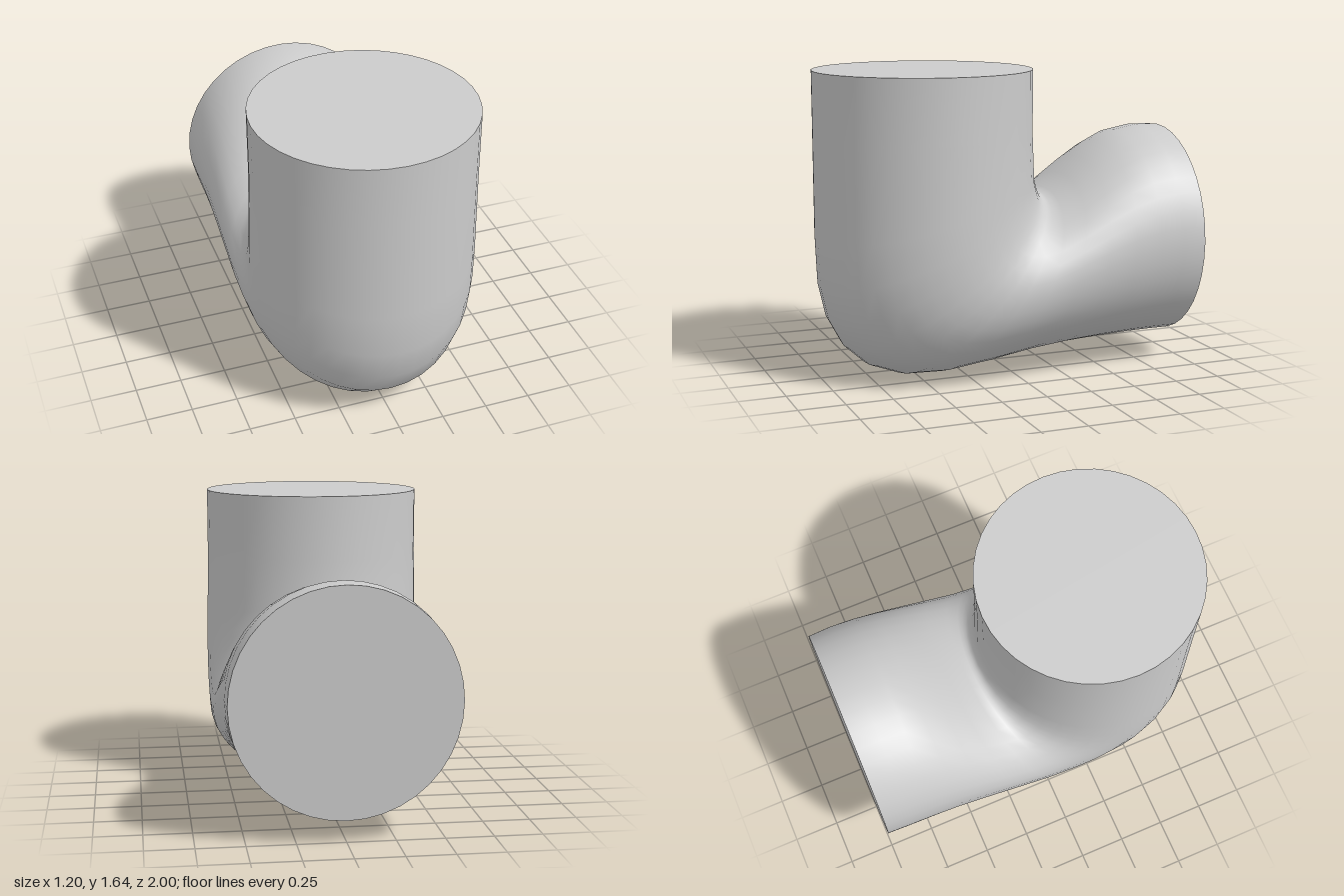
import * as THREE from 'three';

// Elbow stations: inner z, inner y, outer z, outer y, half width
const STATIONS = [
  [-0.18, 1.645, 1.00, 1.645, 0.59], [-0.18, 1.30, 1.00, 1.30, 0.59],
  [-0.19, 1.05, 1.00, 0.75, 0.597], [-0.205, 1.00, 0.99, 0.50, 0.60],
  [-0.215, 0.975, 0.95, 0.32, 0.60], [-0.225, 0.96, 0.87, 0.17, 0.60],
  [-0.235, 0.955, 0.76, 0.07, 0.60], [-0.245, 0.95, 0.60, 0.01, 0.60],
  [-0.26, 0.95, 0.40, 0.003, 0.60], [-0.30, 0.965, 0.15, 0.035, 0.60],
  [-0.40, 1.04, -0.10, 0.072, 0.597], [-0.50, 1.13, -0.35, 0.095, 0.593],
  [-0.62, 1.215, -0.55, 0.105, 0.59], [-0.73, 1.27, -0.75, 0.112, 0.59],
  [-0.87, 1.295, -0.87, 0.113, 0.59], [-1.00, 1.29, -1.00, 0.113, 0.585],
];
const SIDES = 40;

// Oval cross-section spanning the inner and outer points of a station
function ring([iz, iy, oz, oy, w]) {
  const pts = [];
  for (let j = 0; j < SIDES; j++) {
    const a = (j / SIDES) * Math.PI * 2;
    const c = Math.cos(a);
    pts.push(w * Math.sin(a), (iy + oy) / 2 + c * (oy - iy) / 2, (iz + oz) / 2 + c * (oz - iz) / 2);
  }
  return pts;
}

function geometry(positions, index) {
  const g = new THREE.BufferGeometry();
  g.setAttribute('position', new THREE.Float32BufferAttribute(positions, 3));
  g.setIndex(index);
  g.computeVertexNormals();
  return g;
}

// Skin joining successive cross-sections
function pipeGeometry() {
  const index = [];
  for (let i = 0; i < STATIONS.length - 1; i++) {
    for (let j = 0; j < SIDES; j++) {
      const k = (j + 1) % SIDES;
      const a = i * SIDES + j, b = i * SIDES + k;
      const c = a + SIDES, d = b + SIDES;
      index.push(a, c, b, b, c, d);
    }
  }
  return geometry(STATIONS.flatMap(ring), index);
}

// Flat disc closing one end
function capGeometry(station, flip) {
  const [iz, iy, oz, oy] = station;
  const index = [];
  for (let j = 0; j < SIDES; j++) {
    const k = (j + 1) % SIDES;
    index.push(SIDES, flip ? k : j, flip ? j : k);
  }
  return geometry([...ring(station), 0, (iy + oy) / 2, (iz + oz) / 2], index);
}

export function createModel() {
  const model = new THREE.Group();
  model.name = 'pipeElbow';
  const material = new THREE.MeshStandardMaterial({ color: 0xcccccc });
  const add = (name, geo) => {
    const mesh = new THREE.Mesh(geo, material);
    mesh.name = name;
    model.add(mesh);
  };
  add('elbowBody', pipeGeometry());
  add('topCap', capGeometry(STATIONS[0], false));
  add('backCap', capGeometry(STATIONS[STATIONS.length - 1], true));
  return model;
}
